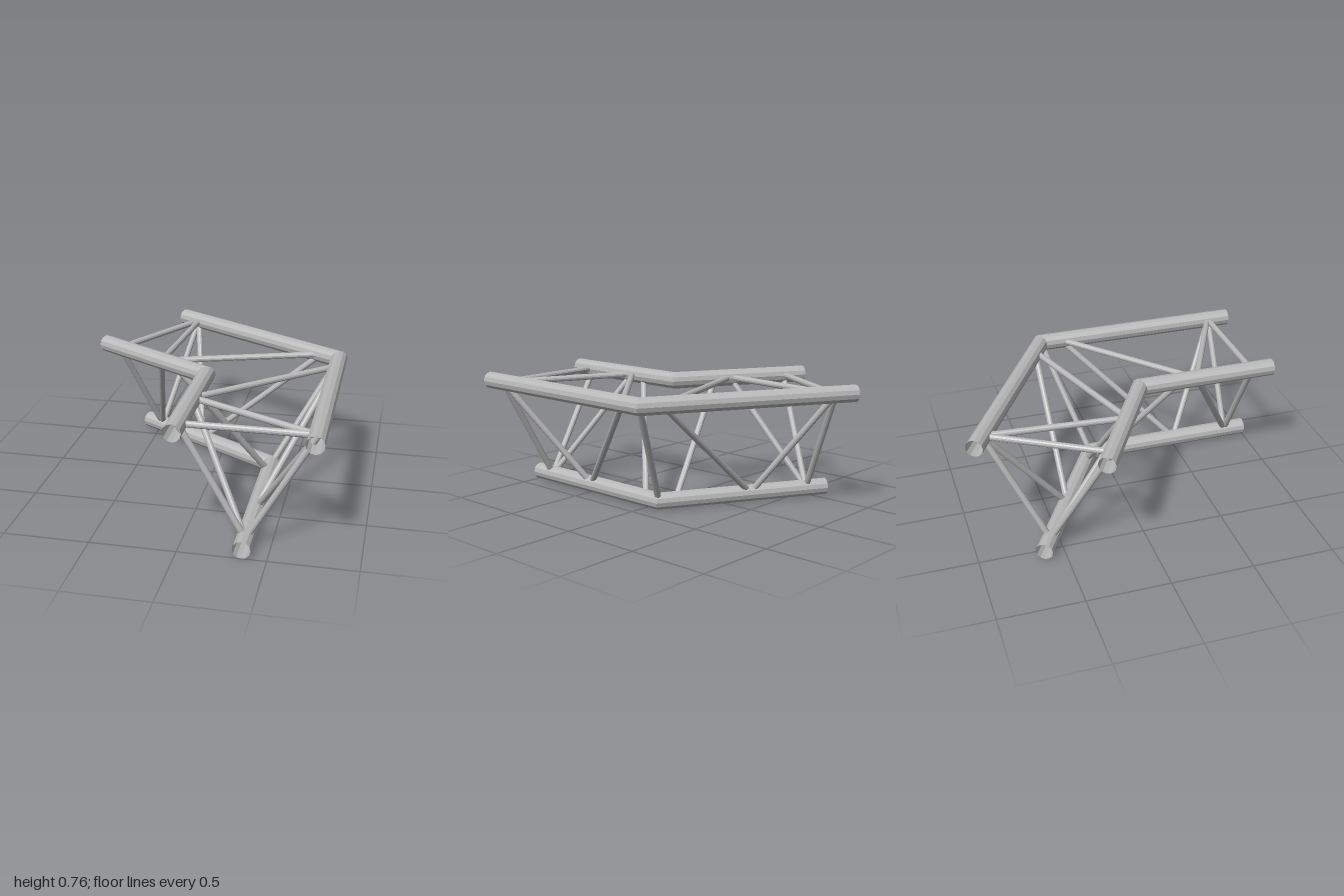
import * as THREE from 'three';

const CHORD_RADIUS = 0.052, STRUT_RADIUS = 0.019, SIDES = 12;
const COS = Math.cos(Math.PI / 6), SIN = 0.5;

// The three main tubes: position of each axis across the first arm
const inner = { x: -0.016, y: 0.708 };
const outer = { x: 0.735, y: 0.708 };
const lower = { x: 0.36, y: 0.052 };

// Depth of the mitre plane at a given x
const mitre = (x) => 0.122 - x * Math.tan(Math.PI / 6);

// Point at depth z on the first arm, or its reflection on the second arm
function place(x, y, z, second) {
  if (!second) return new THREE.Vector3(x, y, z);
  const zc = mitre(x), s = z - zc;
  return new THREE.Vector3(x - COS * s, y, zc - SIN * s);
}

// Open tube with a mitred 60 degree bend
function chordGeometry({ x, y }) {
  const rings = [[], [], []];
  for (let i = 0; i < SIDES; i++) {
    const a = (i / SIDES) * Math.PI * 2;
    const px = x + CHORD_RADIUS * Math.cos(a), py = y + CHORD_RADIUS * Math.sin(a);
    rings[0].push(place(px, py, 1, false));
    rings[1].push(place(px, py, mitre(px), false));
    rings[2].push(place(px, py, 1, true));
  }
  const points = [];
  for (let r = 0; r < 2; r++) {
    for (let i = 0; i < SIDES; i++) {
      const j = (i + 1) % SIDES;
      const [a, b, c, d] = [rings[r][i], rings[r + 1][i], rings[r + 1][j], rings[r][j]];
      points.push(a, b, c, a, c, d);
    }
  }
  const geometry = new THREE.BufferGeometry().setFromPoints(points);
  geometry.computeVertexNormals();
  return geometry;
}

// Thin open tube between two points
function strut(from, to, material, name) {
  const dir = to.clone().sub(from);
  const geometry = new THREE.CylinderGeometry(STRUT_RADIUS, STRUT_RADIUS, dir.length(), SIDES, 1, true);
  const mesh = new THREE.Mesh(geometry, material);
  mesh.position.copy(from).add(to).multiplyScalar(0.5);
  mesh.quaternion.setFromUnitVectors(new THREE.Vector3(0, 1, 0), dir.normalize());
  mesh.name = name;
  return mesh;
}

export function createModel() {
  const model = new THREE.Group();
  model.name = 'cornerTruss';
  const metal = new THREE.MeshStandardMaterial({ color: 0xb8b8b8, side: THREE.DoubleSide, flatShading: true });
  metal.name = 'aluminium grey';

  // Main tubes
  for (const [name, chord] of Object.entries({ innerChord: inner, outerChord: outer, lowerChord: lower })) {
    const mesh = new THREE.Mesh(chordGeometry(chord), metal);
    mesh.name = name;
    model.add(mesh);
  }

  // Lacing of one arm: chord, depth, chord, depth
  const lacing = [
    ['topCrossStrut', inner, 0.865, outer, 0.865],
    ['topDiagonal', inner, 0.5, outer, 0.865],
    ['topLongDiagonal', inner, 0.5, outer, -0.17],
    ['innerEndStrut', inner, 0.865, lower, 0.87],
    ['innerDiagonal', inner, 0.5, lower, 0.87],
    ['innerCornerStrut', inner, 0.4, lower, 0.02],
    ['outerEndStrut', outer, 0.87, lower, 0.87],
    ['outerDiagonal', outer, 0.87, lower, 0.5],
    ['outerLongDiagonal', outer, -0.17, lower, 0.5],
  ];
  for (const second of [false, true]) {
    const arm = new THREE.Group();
    arm.name = second ? 'rearArmLacing' : 'frontArmLacing';
    for (const [name, a, za, b, zb] of lacing) {
      arm.add(strut(place(a.x, a.y, za, second), place(b.x, b.y, zb, second), metal, name));
    }
    model.add(arm);
  }

  // Single brace lying in the mitre plane
  model.add(strut(
    place(lower.x, lower.y, mitre(lower.x), false),
    place(outer.x, outer.y, mitre(outer.x), false), metal, 'mitreBrace'));

  return model;
}
